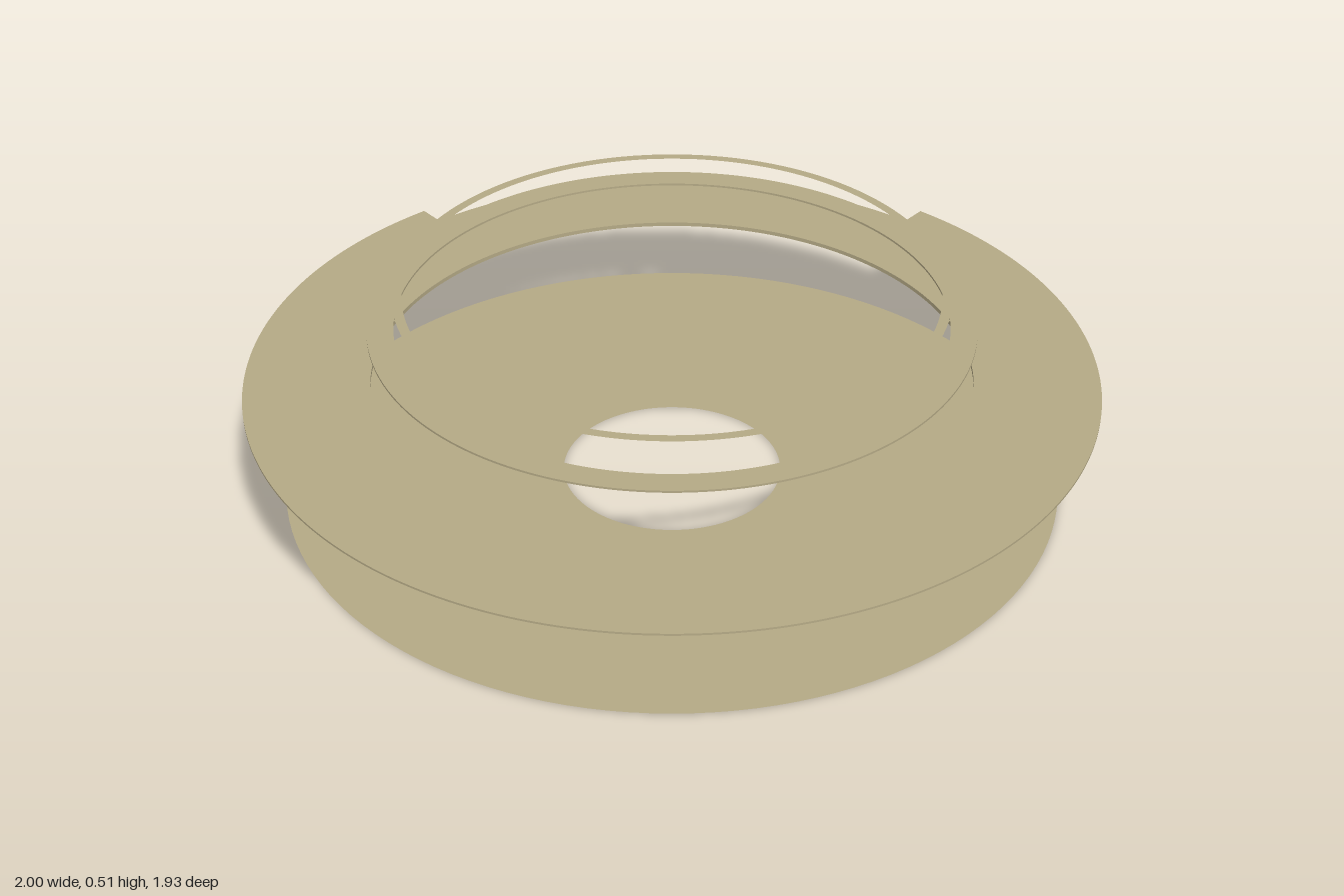
import * as THREE from 'three';

const HOLE = 0.705;                        // opening in the flange
const NOTCH = THREE.MathUtils.degToRad(40); // half angle of the cut-back rear rim

const tan = new THREE.MeshStandardMaterial({ color: 0xb5aa86, side: THREE.DoubleSide });
tan.name = 'tan';

function part(name, geometry, y) {
  const mesh = new THREE.Mesh(geometry.rotateX(-Math.PI / 2), tan);
  mesh.name = name;
  mesh.position.y = y;
  return mesh;
}

// Paper-thin ring without thickness
const flatRing = (inner, outer) => new THREE.RingGeometry(inner, outer, 128);

// Plate from an outline with a round hole
function plate(shape, hole, depth) {
  shape.holes.push(new THREE.Path().absarc(0, 0, hole, 0, Math.PI * 2, true));
  return new THREE.ExtrudeGeometry(shape, { depth, bevelEnabled: false, curveSegments: 128 });
}

// Round outline whose rear sector steps in to a smaller radius
function notchedOutline(inset) {
  const start = Math.PI / 2 + NOTCH, end = Math.PI / 2 - NOTCH;
  const shape = new THREE.Shape();
  shape.absarc(0, 0, 1 - inset, start, end + Math.PI * 2, false);
  shape.absarc(0, 0, 0.934 - inset, end, start, false);
  shape.closePath();
  return shape;
}

export function createModel() {
  const model = new THREE.Group();
  model.name = 'layeredRings';

  // Base disc with a centre hole
  model.add(part('baseDisc', flatRing(0.26, 0.92), 0));

  // Wide flange: top plate over a slightly smaller underside
  model.add(part('flangeTop', plate(notchedOutline(0), HOLE, 0.005), 0.271));
  model.add(part('flangeUnderside', plate(notchedOutline(0.014), HOLE, 0.005), 0.266));

  // Middle ring, same size as the flange opening
  const circle = new THREE.Shape().absarc(0, 0, HOLE, 0, Math.PI * 2, false);
  model.add(part('middleRing', plate(circle, 0.643, 0.005), 0.418));

  // Slim ring on top
  model.add(part('topRing', flatRing(0.62, 0.643), 0.506));

  // The cut-back rim shifts the circles' centre towards the rear
  model.children.forEach((mesh) => { mesh.position.z = -0.033; });
  return model;
}
